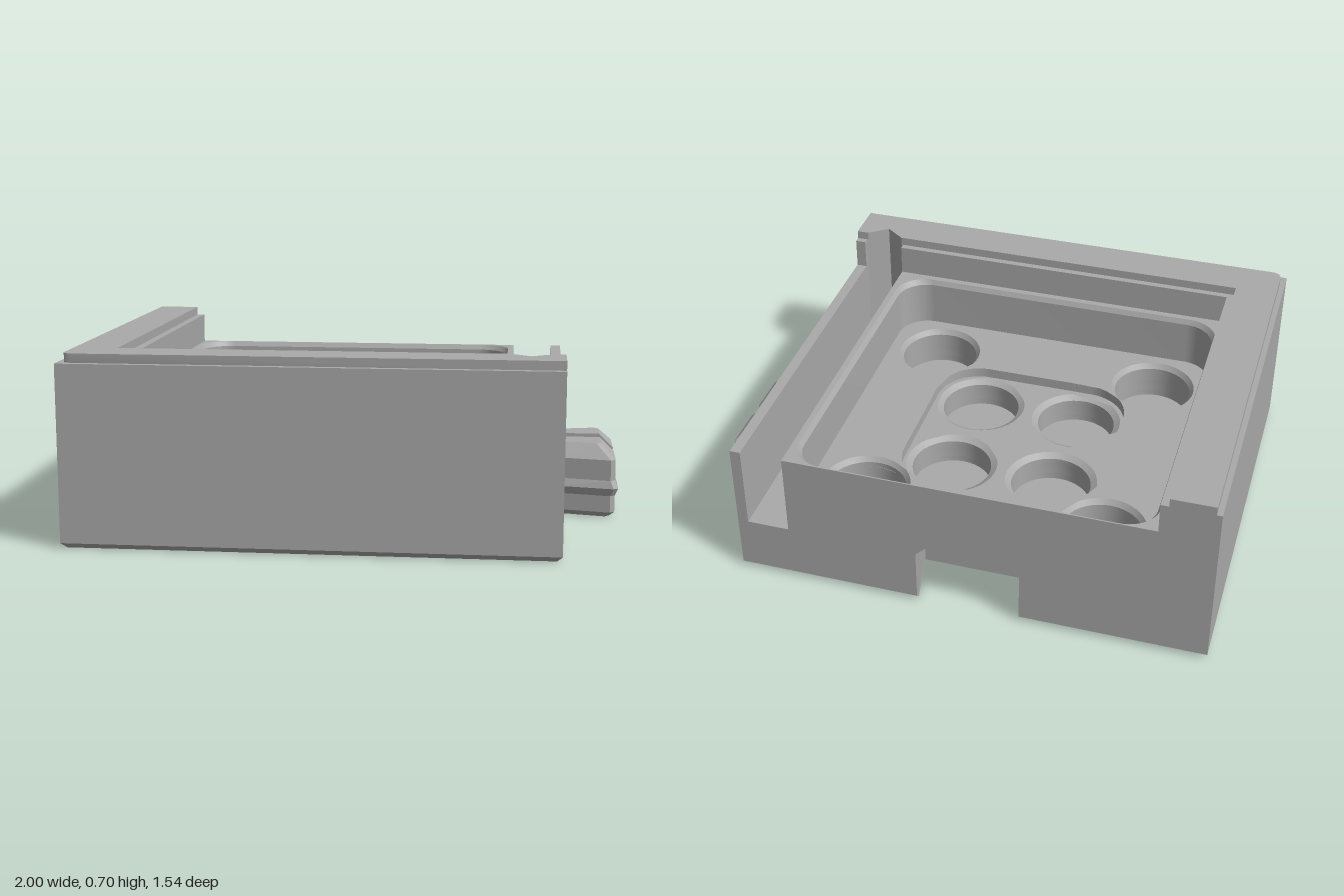
import * as THREE from 'three';
import { toCreasedNormals } from 'three/addons/utils/BufferGeometryUtils.js';
import { ConvexGeometry } from 'three/addons/geometries/ConvexGeometry.js';

// Tray centre and main plan limits
const CX = -0.11, CZ = -0.13;
const X0 = -1, X1 = 0.78, Z0 = -0.77, Z1 = 0.77;
const HOLE_R = 0.15, RIM_R = 0.165;

const grey = new THREE.MeshStandardMaterial({ color: 0xaaaaaa });
grey.name = 'greyPlastic';

// Plan shapes use (x, -z) so they stand up along y after rotation
const plan = (pts) => new THREE.Shape(pts.map(([x, z]) => new THREE.Vector2(x, -z)));

function circleHole(x, z) {
  const p = new THREE.Path();
  p.absarc(x, -z, HOLE_R, 0, Math.PI * 2);
  return p;
}

function roundedHole(cx, cz, hx, hz, r) {
  const p = new THREE.Path(), y = -cz;
  p.absarc(cx + hx - r, y + hz - r, r, 0, Math.PI / 2);
  p.absarc(cx - hx + r, y + hz - r, r, Math.PI / 2, Math.PI);
  p.absarc(cx - hx + r, y - hz + r, r, Math.PI, Math.PI * 1.5);
  p.absarc(cx + hx - r, y - hz + r, r, Math.PI * 1.5, Math.PI * 2);
  p.closePath();
  return p;
}

// Slab between two heights; the warp rule may move its vertices for chamfers
function slab(name, shape, y0, y1, holes = [], warp = null) {
  shape.holes = holes;
  let g = new THREE.ExtrudeGeometry(shape, { depth: y1 - y0, bevelEnabled: false, curveSegments: 20 });
  g.rotateX(-Math.PI / 2).translate(0, y0, 0);
  if (warp) {
    const a = g.attributes.position, v = new THREE.Vector3();
    for (let i = 0; i < a.count; i++) {
      v.fromBufferAttribute(a, i);
      warp(v, v.y > (y0 + y1) / 2);
      a.setXYZ(i, v.x, v.y, v.z);
    }
  }
  g = toCreasedNormals(g, 0.5);
  const m = new THREE.Mesh(g, grey);
  m.name = name;
  return m;
}

// Body outline with optional back socket and side channel
function outline(socket, channel) {
  const pts = [[X0, Z1], [X0, Z0]];
  if (socket) pts.push([CX - 0.195, Z0], [CX - 0.235, -0.55], [CX + 0.235, -0.55], [CX + 0.195, Z0]);
  if (channel) pts.push([0.58, Z0], [0.58, 0.58], [0.66, 0.64], [0.74, 0.58], [0.74, Z0]);
  pts.push([X1, Z0], [X1, Z1]);
  return plan(pts);
}

const four = (d) => [[-1, -1], [1, -1], [-1, 1], [1, 1]].map(([a, b]) => [CX + a * d, CZ + b * d]);

export function createModel() {
  const model = new THREE.Group();
  const outer = four(0.448), inner = four(0.195);
  const holes = (list) => list.map(([x, z]) => circleHole(x, z));
  const tray = () => roundedHole(CX, CZ, 0.38, 0.38, 0.17);
  const cavity = () => roundedHole(CX, -0.115, 0.655, 0.64, 0.12);

  // Widen the top of round wells into a chamfer
  const flare = (list, r) => (v, top) => {
    if (!top) return;
    for (const [x, z] of list) {
      const d = Math.hypot(v.x - x, v.z - z);
      if (d < HOLE_R + 0.003) {
        v.x = x + (v.x - x) * r / d;
        v.z = z + (v.z - z) * r / d;
        return;
      }
    }
  };

  // Base with chamfered lower edge
  model.add(slab('baseChamfer', outline(true, false), 0, 0.02, [], (v, top) => {
    if (top) return;
    if (v.x < X0 + 0.01) v.x += 0.02;
    if (v.x > X1 - 0.01) v.x -= 0.02;
    if (v.z < Z0 + 0.01) v.z += 0.02;
    if (v.z > Z1 - 0.01) v.z -= 0.02;
  }));
  model.add(slab('base', outline(true, false), 0.02, 0.2));

  // Layers with wells, back socket and side channel
  model.add(slab('lowerWells', outline(true, false), 0.2, 0.225, holes([...outer, ...inner])));
  model.add(slab('socketRoof', outline(true, true), 0.225, 0.28, holes([...outer, ...inner]), (v, top) => {
    if (!top || v.z > -0.5 || Math.abs(v.x - CX) > 0.25) return;
    v.x -= Math.sign(v.x - CX) * 0.055;
    if (v.z > -0.6) v.z -= 0.055;
  }));
  model.add(slab('innerWells', outline(false, true), 0.28, 0.295, holes([...outer, ...inner])));
  model.add(slab('innerWellRims', outline(false, true), 0.295, 0.31, holes([...outer, ...inner]), flare(inner, 0.174)));
  model.add(slab('trayStep', outline(false, true), 0.31, 0.33, [tray(), ...holes(outer)]));
  model.add(slab('outerWellRims', outline(false, true), 0.33, 0.35, [tray(), ...holes(outer)], flare(outer, RIM_R)));

  // Cavity walls and their chamfered rim
  model.add(slab('cavityWalls', outline(false, true), 0.35, 0.53, [cavity()]));
  model.add(slab('cavityRim', outline(false, true), 0.53, 0.55, [cavity()], (v, top) => {
    const dx = v.x - CX, dz = v.z + 0.115;
    if (!top || Math.abs(dx) > 0.66 || Math.abs(dz) > 0.645) return;
    v.x = CX + dx * 0.668 / 0.655;
    v.z = -0.115 + dz * 0.65 / 0.64;
  }));

  // Raised left and front walls that guide the lid
  model.add(slab('lidWall', plan([
    [X0, Z0], [-0.79, Z0], [-0.79, 0.56], [0.58, 0.56], [0.58, 0.58], [0.66, 0.64],
    [0.74, 0.58], [0.74, 0.56], [X1, 0.56], [X1, Z1], [X0, Z1],
  ]), 0.55, 0.667));
  model.add(slab('lidLip', plan([
    [-0.98, Z0], [-0.82, Z0], [-0.82, 0.585], [0.587, 0.585], [0.66, 0.64],
    [0.733, 0.585], [X1, 0.585], [X1, 0.745], [-0.95, 0.745], [-0.971, 0.736], [-0.98, 0.715],
  ]), 0.667, 0.7));

  // Split dovetail connector: [height, inset] levels, stacked convex slices
  const levels = [[0, 0.02], [0.02, 0], [0.085, 0], [0.115, -0.012], [0.145, 0], [0.225, 0], [0.28, 0.055]];
  const ring = ([y, d], s) => [
    [0.77, 0.035], [0.988 - d, 0.035], [0.988 - d, 0.205 - d], [0.97 - d, 0.222 - d], [0.77, 0.182 - d],
  ].map(([x, z]) => new THREE.Vector3(x, y, -0.125 + s * z));
  const connector = new THREE.Group();
  connector.name = 'connector';
  for (const s of [-1, 1]) {
    const prong = new THREE.Group();
    prong.name = s > 0 ? 'frontProng' : 'backProng';
    for (let i = 0; i < levels.length - 1; i++) {
      const slice = new THREE.Mesh(new ConvexGeometry([...ring(levels[i], s), ...ring(levels[i + 1], s)]), grey);
      slice.name = 'prongSlice';
      prong.add(slice);
    }
    connector.add(prong);
  }
  const root = new THREE.Mesh(new THREE.BoxGeometry(0.03, 0.28, 0.07), grey);
  root.name = 'connectorRoot';
  root.position.set(0.785, 0.14, -0.125);
  connector.add(root);
  model.add(connector);
  return model;
}
